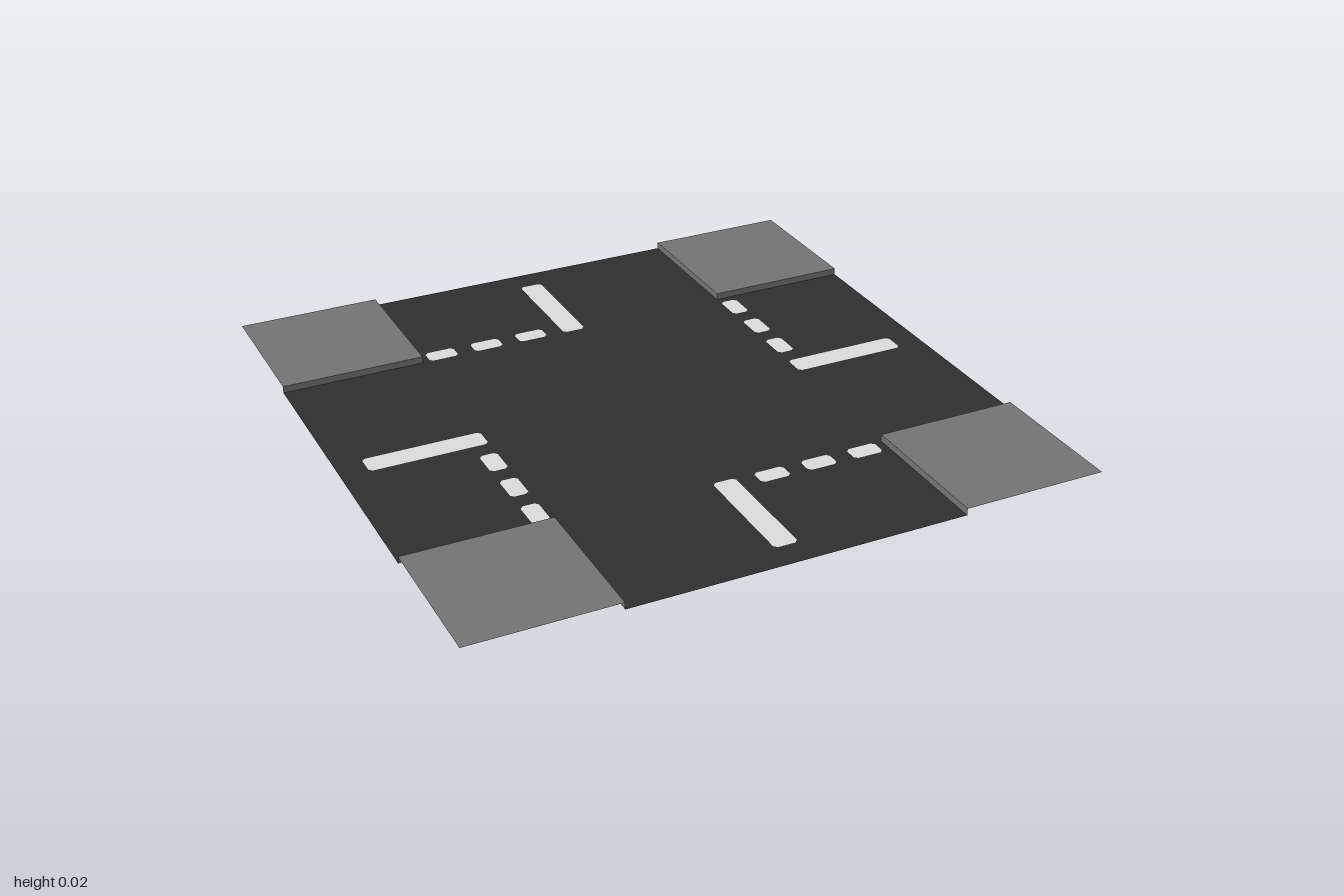
import * as THREE from 'three';

const HALF = 1;        // half width of the tile
const ROAD = 0.535;    // half width of each road
const KERB = 0.022;    // pavement height

// Rotates plan points by quarter turns
const turn = (points, k) => points.map(([x, y]) => {
  for (let i = 0; i < k; i++) [x, y] = [-y, x];
  return new THREE.Vector2(x, y);
});

// Rectangle with clipped corners
function clippedRect(x0, x1, y0, y1, c = 0.01) {
  return [
    [x0 + c, y0], [x1 - c, y0], [x1, y0 + c], [x1, y1 - c],
    [x1 - c, y1], [x0 + c, y1], [x0, y1 - c], [x0, y0 + c],
  ];
}

export function createModel() {
  const group = new THREE.Group();
  const material = (name, color) => {
    const m = new THREE.MeshStandardMaterial({ color, side: THREE.DoubleSide });
    m.name = name;
    return m;
  };
  const asphalt = material('asphalt', 0x303030);
  const pavement = material('pavement', 0x757575);
  const paint = material('roadPaint', 0xdedede);

  const add = (parent, name, geometry, mat) => {
    const mesh = new THREE.Mesh(geometry, mat);
    mesh.name = name;
    parent.add(mesh);
    return mesh;
  };
  const flat = (shape) => new THREE.ShapeGeometry(shape).rotateX(-Math.PI / 2);

  // Crossroads surface, with openings that the markings fill
  const arm = [[ROAD, ROAD], [ROAD, HALF], [-ROAD, HALF]];
  const road = new THREE.Shape([0, 1, 2, 3].flatMap((k) => turn(arm, k)));

  // Centre line and three stop dashes for each arm
  const markings = [
    ['centreLine', clippedRect(-0.0375, 0.0375, ROAD, 0.912)],
    ...[-0.46, -0.303, -0.146].map((x) =>
      ['stopDash', clippedRect(x - 0.049, x + 0.049, ROAD, 0.592)]),
  ];
  for (let k = 0; k < 4; k++) {
    for (const [name, points] of markings) {
      const outline = turn(points, k);
      road.holes.push(new THREE.Path(outline));
      add(group, name, flat(new THREE.Shape(outline)), paint);
    }
  }
  add(group, 'road', flat(road), asphalt);

  // Raised pavement corners: a top and two kerb faces, open below and outside
  const size = HALF - ROAD;
  const mid = (HALF + ROAD) / 2;
  for (let k = 0; k < 4; k++) {
    const corner = new THREE.Group();
    corner.name = 'pavementCorner';
    add(corner, 'pavementTop', new THREE.PlaneGeometry(size, size).rotateX(-Math.PI / 2), pavement)
      .position.set(mid, KERB, mid);
    add(corner, 'kerbSide', new THREE.PlaneGeometry(size, KERB).rotateY(-Math.PI / 2), pavement)
      .position.set(ROAD, KERB / 2, mid);
    add(corner, 'kerbEnd', new THREE.PlaneGeometry(size, KERB).rotateY(Math.PI), pavement)
      .position.set(mid, KERB / 2, ROAD);
    corner.rotation.y = k * Math.PI / 2;
    group.add(corner);
  }

  return group;
}
